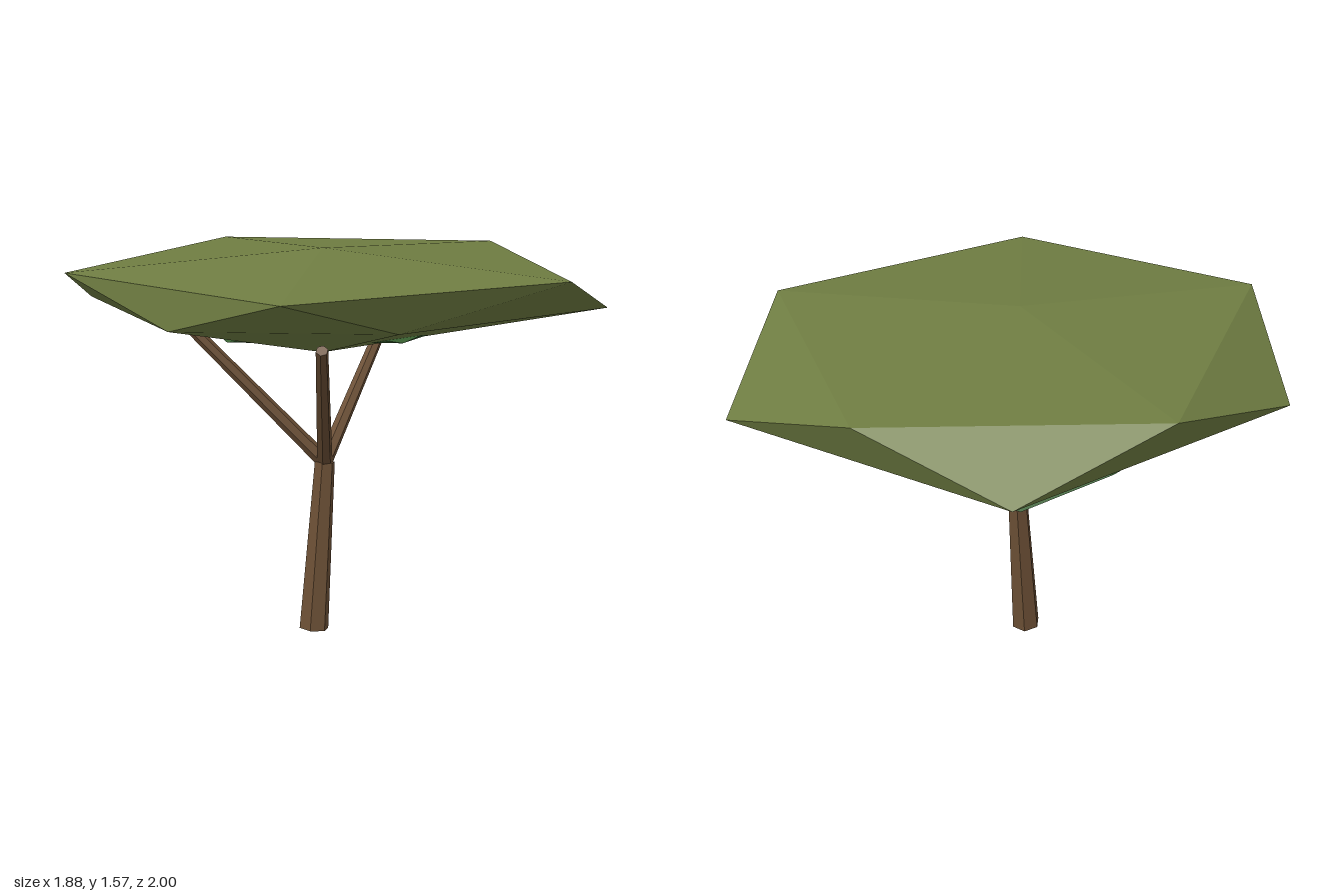
import * as THREE from 'three';

const paint = (name, color) => {
  const m = new THREE.MeshStandardMaterial({ color });
  m.name = name;
  return m;
};

// Faceted leaf clump: top point, five-point upper and lower rings, bottom point
function clump(name, material, top, upper, lower, bottom) {
  const tris = [];
  for (let i = 0; i < 5; i++) {
    const j = (i + 1) % 5;
    tris.push(top, upper[j], upper[i]);
    tris.push(upper[i], upper[j], lower[i]);
    tris.push(lower[i], upper[j], lower[j]);
    tris.push(bottom, lower[i], lower[j]);
  }
  const geo = new THREE.BufferGeometry();
  geo.setAttribute('position', new THREE.Float32BufferAttribute(tris.flat(), 3));
  geo.computeVertexNormals();
  const mesh = new THREE.Mesh(geo, material);
  mesh.name = name;
  return mesh;
}

// Tapered low-poly limb between two points
function limb(name, material, from, to, r0, r1, sides) {
  const a = new THREE.Vector3(...from), b = new THREE.Vector3(...to);
  const dir = b.clone().sub(a);
  const geo = new THREE.CylinderGeometry(r1, r0, dir.length(), sides).toNonIndexed();
  geo.computeVertexNormals();
  const mesh = new THREE.Mesh(geo, material);
  mesh.name = name;
  mesh.position.copy(a).add(b).multiplyScalar(0.5);
  mesh.quaternion.setFromUnitVectors(new THREE.Vector3(0, 1, 0), dir.normalize());
  return mesh;
}

export function createModel() {
  const tree = new THREE.Group();
  tree.name = 'tree';
  const bark = paint('bark', 0x6b4f35);
  const olive = paint('olive leaves', 0x6f7d42);
  const green = paint('dark green leaves', 0x376030);

  // Leaning trunk and three spreading branches
  const fork = [-0.1, 0.7, 0.04];
  tree.add(limb('trunk', bark, [-0.165, 0.005, 0.04], fork, 0.061, 0.042, 6));
  const tips = [[0.45, 1.25, -0.11], [-0.49, 1.26, 0.41], [-0.49, 1.26, -0.33]];
  tips.forEach((tip, i) => tree.add(limb(`branch${i + 1}`, bark, fork, tip, 0.032, 0.024, 6)));

  // Broad flat canopy
  tree.add(clump('canopy', olive, [-0.1, 1.57, 0.03],
    [[0.94, 1.5, 0.03], [0.24, 1.5, 1], [-0.82, 1.48, 0.53], [-0.94, 1.5, -0.54], [0.23, 1.5, -0.9]],
    [[0.89, 1.29, 0.7], [-0.33, 1.33, 0.65], [-0.885, 1.33, 0], [-0.45, 1.3, -1], [0.8, 1.3, -0.58]],
    [-0.1, 1.15, 0.03]));

  // Smaller dark clump peeking out underneath
  tree.add(clump('underCanopy', green, [0.18, 1.38, -0.17],
    [[0.77, 1.29, -0.17], [0.37, 1.29, 0.4], [-0.32, 1.29, 0.19], [-0.32, 1.29, -0.52], [0.37, 1.29, -0.72]],
    [[0.73, 1.22, 0.2], [-0.01, 1.22, 0.38], [-0.48, 1.22, -0.12], [-0.01, 1.22, -0.7], [0.68, 1.22, -0.53]],
    [0.18, 1.13, -0.17]));

  return tree;
}
